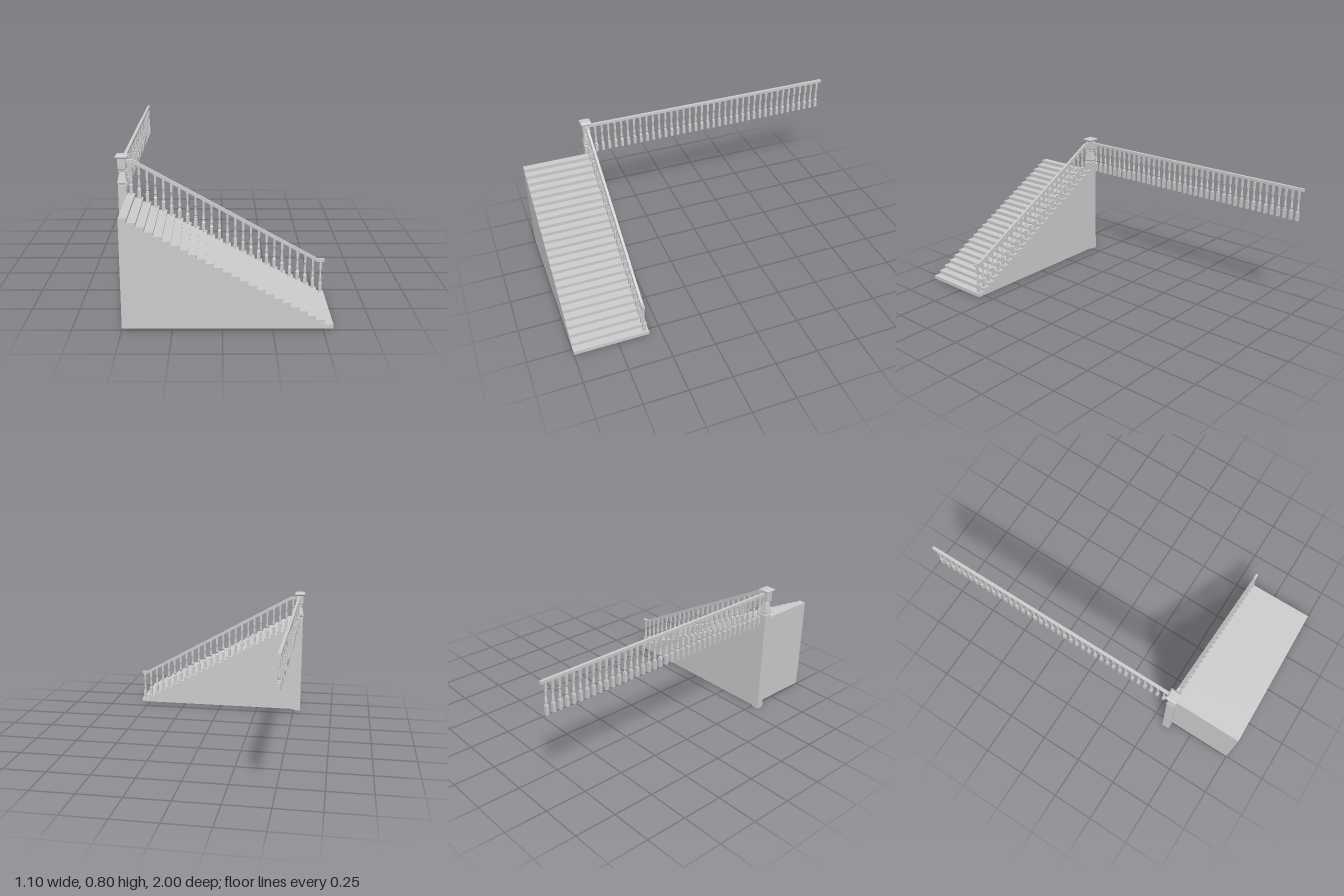
import * as THREE from 'three';

const material = new THREE.MeshStandardMaterial({ color: 0xcccccc, flatShading: true });

const STEPS = 25, RUN = 0.042, RISE = 0.02305;
const FOOT_X = 0.55, BASE_Y = 0.008, FIRST_Y = 0.03;
const RAIL_Z = 0.592, NEWEL_X = -0.521, LANDING_RAIL_X = -0.517;

function addMesh(parent, name, geometry, x = 0, y = 0, z = 0) {
  const mesh = new THREE.Mesh(geometry, material);
  mesh.name = name;
  mesh.position.set(x, y, z);
  parent.add(mesh);
  return mesh;
}

// Turned profile of [half width, height] pairs; four sides give a square post
function turned(profile, sides) {
  const k = 1 / Math.cos(Math.PI / sides);
  const points = profile.map(([r, y]) => new THREE.Vector2(r * k, y));
  return new THREE.LatheGeometry(points, sides, Math.PI / sides);
}

// Side outline in x/y, extruded from z0 to z1
function slab(points, z0, z1) {
  const shape = new THREE.Shape(points.map(([x, y]) => new THREE.Vector2(x, y)));
  const geometry = new THREE.ExtrudeGeometry(shape, { depth: z1 - z0, bevelEnabled: false });
  return geometry.translate(0, 0, z0);
}

// Solid flight with a slight nosing on every tread
function flightGeometry() {
  const nose = 0.003, lip = 0.006;
  const points = [[FOOT_X - STEPS * RUN, BASE_Y], [FOOT_X, BASE_Y]];
  for (let i = 0; i < STEPS; i++) {
    const x = FOOT_X - i * RUN, y = FIRST_Y + i * RISE;
    if (i > 0) points.push([x - nose, y - RISE], [x - nose, y - lip], [x, y - lip]);
    points.push([x, y]);
  }
  points.push([FOOT_X - STEPS * RUN, FIRST_Y + (STEPS - 1) * RISE]);
  return slab(points, 0.57, 1);
}

// Baluster parts: square foot, tapering turned shaft, square head
const foot = turned([[0, 0], [0.0085, 0], [0.0085, 0.052], [0.006, 0.056], [0, 0.056]], 4);
const shaft = turned([
  [0.0055, 0.054], [0.0075, 0.06], [0.005, 0.065], [0.008, 0.072],
  [0.007, 0.085], [0.0035, 0.116], [0.006, 0.12], [0.004, 0.126],
], 8);
const head = turned([[0, 0.124], [0.0045, 0.124], [0.006, 0.128], [0.006, 0.18], [0, 0.18]], 4);

function addBaluster(parent, x, y, z) {
  const baluster = new THREE.Group();
  baluster.name = 'baluster';
  baluster.position.set(x, y, z);
  addMesh(baluster, 'balusterFoot', foot);
  addMesh(baluster, 'balusterShaft', shaft);
  addMesh(baluster, 'balusterHead', head);
  parent.add(baluster);
}

export function createModel() {
  const model = new THREE.Group();
  model.name = 'staircase';

  addMesh(model, 'stairFlight', flightGeometry());

  // Newel post: square shaft, tapered vase, block and cap
  addMesh(model, 'newelPost', turned([
    [0, 0], [0.0225, 0], [0.0225, 0.637], [0.016, 0.641], [0.02, 0.645],
    [0.0255, 0.65], [0.0225, 0.665], [0.014, 0.709], [0.019, 0.713], [0.014, 0.717],
    [0.0215, 0.723], [0.0215, 0.78], [0.024, 0.784],
    [0.0325, 0.788], [0.0325, 0.794], [0.024, 0.8], [0, 0.8],
  ], 4), NEWEL_X, 0, RAIL_Z);

  // Sloping handrail with level ends, one baluster on each tread
  const stairRailing = new THREE.Group();
  stairRailing.name = 'stairRailing';
  addMesh(stairRailing, 'stairHandrail', slab([
    [-0.505, 0.755], [-0.47, 0.755], [0.511, 0.205], [0.55, 0.205],
    [0.55, 0.221], [0.516, 0.221], [-0.463, 0.771], [-0.505, 0.771],
  ], RAIL_Z - 0.007, RAIL_Z + 0.007));
  for (let i = 0; i < STEPS; i++) {
    addBaluster(stairRailing, FOOT_X - (i + 0.45) * RUN, FIRST_Y + i * RISE, RAIL_Z);
  }
  model.add(stairRailing);

  // Level railing running back along the landing
  const landingRailing = new THREE.Group();
  landingRailing.name = 'landingRailing';
  const railLength = 1.575;
  addMesh(landingRailing, 'landingHandrail', new THREE.BoxGeometry(0.017, 0.016, railLength),
    LANDING_RAIL_X, 0.766, -1 + railLength / 2);
  for (let i = 0; i < 38; i++) {
    addBaluster(landingRailing, LANDING_RAIL_X, 0.579, 0.537 - i * 0.0408);
  }
  model.add(landingRailing);

  return model;
}
